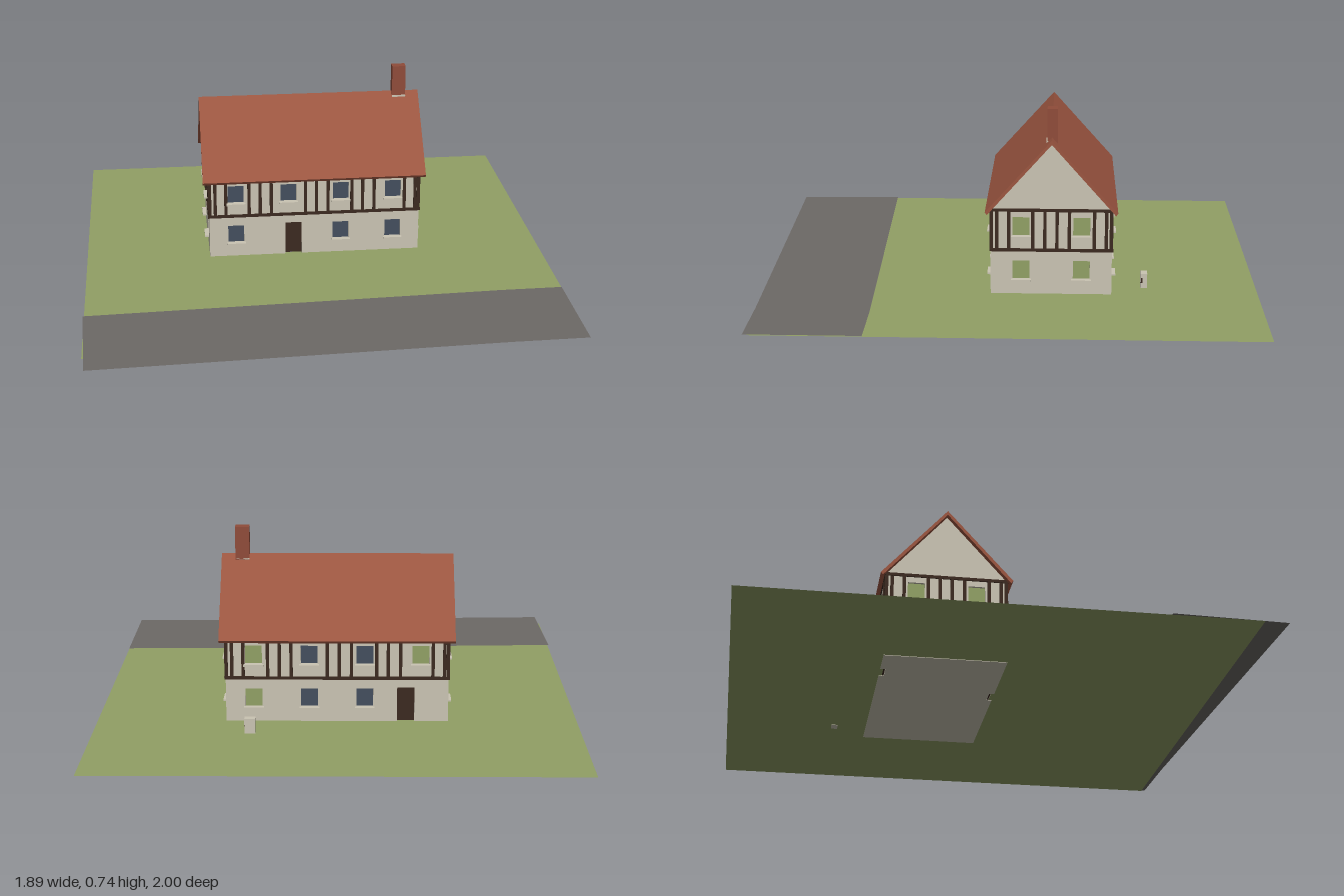
import * as THREE from 'three';

const mat = (name, color, side = THREE.FrontSide) => {
  const m = new THREE.MeshStandardMaterial({ color, side });
  m.name = name;
  return m;
};

export function createModel() {
  const plaster = mat('plaster', 0xcac4b3);
  const tile = mat('roofTile', 0x9b5540);
  const brick = mat('chimneyBrick', 0x8f4c3a);
  const timber = mat('darkTimber', 0x3b2a20);
  const glass = mat('blueGlass', 0x444e5e);
  const grass = mat('grassGreen', 0x91a065, THREE.DoubleSide);
  const asphalt = mat('asphalt', 0x6d6966, THREE.DoubleSide);

  const model = new THREE.Group();
  const add = (parent, name, geo, material, x = 0, y = 0, z = 0) => {
    const mesh = new THREE.Mesh(geo, material);
    mesh.name = name;
    mesh.position.set(x, y, z);
    parent.add(mesh);
    return mesh;
  };
  const box = (parent, name, material, w, h, d, x, y, z) =>
    add(parent, name, new THREE.BoxGeometry(w, h, d), material, x, y, z);
  const shapeOf = pts => new THREE.Shape(pts.map(p => new THREE.Vector2(...p)));

  // Main sizes
  const ZC = -0.19, HX = 0.437, HZ = 0.2365, WALL = 0.02;
  const EAVE = 0.345, WIN_W = 0.066, WIN_H = 0.078, DOOR_W = 0.068, DOOR_H = 0.142;
  const LOW = 0.098, HIGH = 0.274;

  // A wall facing local +z, with openings, panes, sills and timber framing
  function wall(name, half, { windows, door, gable, studs, paneFor }) {
    const g = new THREE.Group();
    g.name = name;
    const pts = [[-half, 0]];
    if (door !== undefined) {
      const a = door - DOOR_W / 2, b = door + DOOR_W / 2;
      pts.push([a, 0], [a, DOOR_H], [b, DOOR_H], [b, 0]);
    }
    pts.push([half, 0], [half, EAVE]);
    if (gable) pts.push([0, 0.608]);
    pts.push([-half, EAVE]);
    const shape = shapeOf(pts);
    for (const [u, y] of windows) {
      const w = WIN_W / 2, h = WIN_H / 2;
      shape.holes.push(new THREE.Path([[-w, -h], [-w, h], [w, h], [w, -h]]
        .map(([a, b]) => new THREE.Vector2(u + a, y + b))));
      box(g, 'windowPane', paneFor(u), WIN_W, WIN_H, 0.004, u, y, -0.012);
      box(g, 'windowSill', plaster, WIN_W + 0.012, 0.007, 0.026, u, y - h, 0.004);
    }
    const geo = new THREE.ExtrudeGeometry(shape, { depth: WALL, bevelEnabled: false });
    add(g, 'wallPanel', geo, plaster, 0, 0, -WALL);
    if (door !== undefined) box(g, 'door', timber, DOOR_W, DOOR_H - 0.002, 0.006, door, DOOR_H / 2 + 0.001, -0.016);

    // Upper-storey timber frame
    for (const y of [0.181, 0.342])
      box(g, 'railBeam', timber, 2 * half + 0.01, 0.012, 0.012, 0, y, -0.001);
    for (const u of studs)
      box(g, 'studBeam', timber, 0.013, 0.161, 0.01, u, 0.262, -0.001);
    return g;
  }

  // Four walls
  const house = new THREE.Group();
  house.name = 'house';
  house.position.z = ZC;
  model.add(house);
  const cols = [-0.327, -0.109, 0.109, 0.327];
  const upper = cols.map(u => [u, HIGH]);
  const longStuds = [-0.434, -0.412, -0.368, -0.272, -0.226, -0.18, -0.038, 0.008, 0.056, 0.155, 0.2, 0.248, 0.375, 0.42, 0.434];
  const front = wall('frontWall', HX, {
    windows: [...upper, ...[-0.327, 0.109, 0.327].map(u => [u, LOW])],
    door: -0.088, studs: longStuds, paneFor: () => glass,
  });
  front.position.z = HZ;
  const back = wall('backWall', HX, {
    windows: [...upper, ...[-0.327, -0.109, 0.109].map(u => [u, LOW])],
    door: 0.27, studs: longStuds, paneFor: u => (Math.abs(u) > 0.2 ? grass : glass),
  });
  back.position.z = -HZ;
  back.rotation.y = Math.PI;
  house.add(front, back);
  for (const s of [1, -1]) {
    const end = wall(s > 0 ? 'leftGableWall' : 'rightGableWall', HZ, {
      windows: [-0.118, 0.118].flatMap(u => [[u, LOW], [u, HIGH]]),
      gable: true, paneFor: () => grass,
      studs: [-0.233, -0.212, -0.165, -0.072, -0.025, 0.022, 0.07, 0.167, 0.214, 0.233],
    });
    end.position.x = s * HX;
    end.rotation.y = s * Math.PI / 2;
    house.add(end);
  }
  box(house, 'floor', plaster, 2 * (HX - WALL), 0.001, 2 * (HZ - WALL), 0, 0.0005, 0);

  // Gabled roof shell, extruded along the ridge
  const roofShape = shapeOf([
    [-0.258, 0.338], [-0.25, 0.327], [0, 0.608], [0.25, 0.327], [0.258, 0.338], [0, 0.625],
  ]);
  const roofGeo = new THREE.ExtrudeGeometry(roofShape, { depth: 0.922, bevelEnabled: false });
  roofGeo.translate(0, 0, -0.461);
  roofGeo.rotateY(Math.PI / 2);
  add(house, 'roof', roofGeo, tile);

  // Chimney with a pale flashing strip at its foot
  box(house, 'chimney', brick, 0.056, 0.135, 0.04, 0.378, 0.669, -0.002);
  box(house, 'chimneyFlashing', plaster, 0.056, 0.007, 0.044, 0.378, 0.607, 0);

  // Small stone post behind the house
  const post = new THREE.Group();
  post.name = 'stonePost';
  post.position.set(0.336, 0, -0.557);
  model.add(post);
  box(post, 'postBlock', plaster, 0.042, 0.062, 0.026, 0, 0.031, 0);
  box(post, 'postFitting', timber, 0.004, 0.02, 0.006, 0.021, 0.034, 0.009);

  // Lawn (open under the house) and the road across the front
  const flat = pts => shapeOf(pts.map(([x, z]) => [x, -z]));
  const lawn = flat([[-0.945, -1], [0.945, -1], [0.945, 0.915], [-0.945, 0.9]]);
  const hx = HX - 0.012, hz = HZ - 0.012;
  lawn.holes.push(new THREE.Path([[-hx, ZC - hz], [-hx, ZC + hz], [hx, ZC + hz], [hx, ZC - hz]]
    .map(([x, z]) => new THREE.Vector2(x, -z))));
  const lawnGeo = new THREE.ShapeGeometry(lawn).rotateX(-Math.PI / 2);
  add(model, 'lawn', lawnGeo, grass, 0, 0.002, 0);
  const road = flat([
    [-0.95, 0.557], [0.7, 0.495], [0.945, 0.492], [0.945, 0.931], [0.65, 0.936], [-0.935, 0.995],
  ]);
  add(model, 'road', new THREE.ShapeGeometry(road).rotateX(-Math.PI / 2), asphalt, 0, 0.005, 0);

  return model;
}
